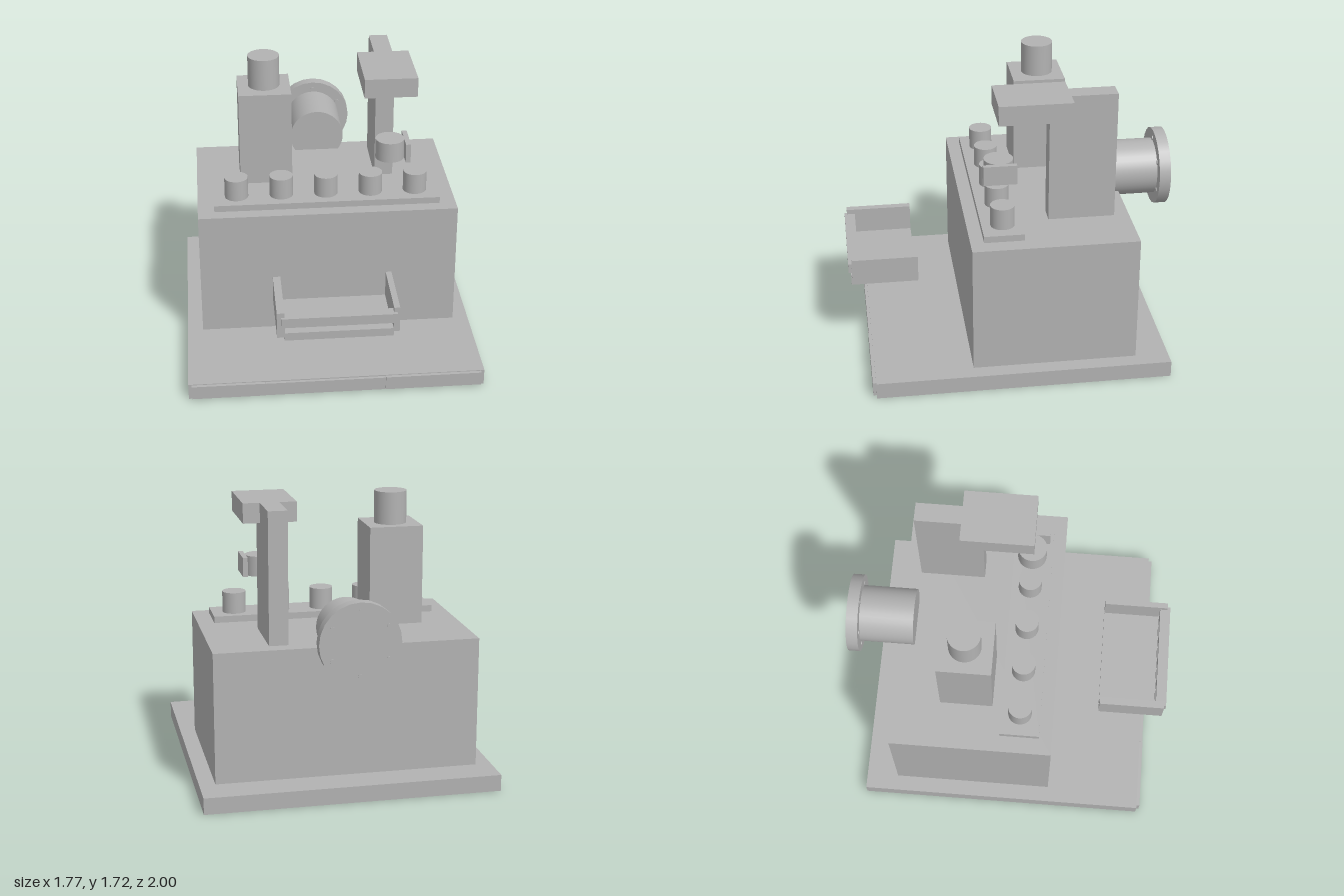
import * as THREE from 'three';

export function createModel() {
  const model = new THREE.Group();
  model.name = 'benchMachine';
  const grey = new THREE.MeshStandardMaterial({ color: 0xb2b2b2 });
  grey.name = 'machineGrey';

  const add = (name, geometry, parent = model) => {
    const mesh = new THREE.Mesh(geometry, grey);
    mesh.name = name;
    parent.add(mesh);
    return mesh;
  };
  // Box given by its limits on each axis
  const box = (name, [x0, x1], [y0, y1], [z0, z1], parent) => {
    const mesh = add(name, new THREE.BoxGeometry(x1 - x0, y1 - y0, z1 - z0), parent);
    mesh.position.set((x0 + x1) / 2, (y0 + y1) / 2, (z0 + z1) / 2);
    return mesh;
  };
  // Upright cylinder
  const post = (name, r, x, z, [y0, y1], parent) => {
    const mesh = add(name, new THREE.CylinderGeometry(r, r, y1 - y0, 40), parent);
    mesh.position.set(x, (y0 + y1) / 2, z);
    return mesh;
  };
  // Cylinder lying along z
  const barrel = (name, r, x, y, [z0, z1], sides, parent) => {
    const mesh = add(name, new THREE.CylinderGeometry(r, r, z1 - z0, sides), parent);
    mesh.rotation.x = Math.PI / 2;
    mesh.position.set(x, y, (z0 + z1) / 2);
    return mesh;
  };

  // Base plate with a front edge strip in three pieces
  box('basePlate', [-0.885, 0.885], [0, 0.1], [-0.89, 0.88]);
  box('edgeStripRight', [-0.865, -0.432], [0.01, 0.095], [0.88, 0.9]);
  box('edgeStripMiddle', [-0.43, 0.288], [0.01, 0.093], [0.88, 0.898]);
  box('edgeStripLeft', [0.29, 0.865], [0.01, 0.095], [0.88, 0.9]);

  // Main housing
  box('housing', [-0.79, 0.79], [0.1, 0.89], [-0.69, 0.295]);

  // Control panel and its row of knobs
  const controls = new THREE.Group();
  controls.name = 'controls';
  model.add(controls);
  box('controlPanel', [-0.69, 0.69], [0.89, 0.93], [-0.025, 0.215], controls);
  for (let i = -2; i <= 2; i++) post('knob', 0.072, i * 0.275, 0.09, [0.93, 1.06], controls);

  // Tower with round cap
  box('tower', [-0.518, -0.195], [0.925, 1.52], [-0.4, -0.08]);
  post('towerCap', 0.097, -0.355, -0.245, [1.52, 1.715]);

  // Arm column with overhanging head
  box('armColumn', [0.335, 0.45], [0.89, 1.68], [-0.6, -0.2]);
  box('armHead', [0.23, 0.55], [1.56, 1.68], [-0.325, 0.11]);

  // Cup and its side plate below the head
  post('cup', 0.0875, 0.39, 0.0925, [1.16, 1.285]);
  box('cupPlate', [0.475, 0.505], [1.165, 1.285], [-0.005, 0.195]);

  // Tray in front of the housing
  const tray = new THREE.Group();
  tray.name = 'tray';
  model.add(tray);
  box('trayFloor', [-0.315, 0.315], [0.45, 0.475], [0.58, 0.935], tray);
  box('trayLip', [-0.318, 0.315], [0.45, 0.5], [0.935, 0.985], tray);
  box('trayRail', [-0.335, 0.335], [0.545, 0.605], [0.935, 1], tray);
  box('traySideRight', [-0.36, -0.315], [0.472, 0.635], [0.58, 0.985], tray);
  box('traySideLeft', [0.315, 0.35], [0.475, 0.635], [0.58, 0.98], tray);

  // Rear pipe, flange and ring of bolts
  const outlet = new THREE.Group();
  outlet.name = 'rearOutlet';
  model.add(outlet);
  const cy = 0.988;
  barrel('pipe', 0.172, 0, cy, [-0.93, -0.595], 40, outlet);
  barrel('flange', 0.238, 0, cy, [-0.995, -0.925], 24, outlet);
  for (let i = 0; i < 6; i++) {
    const a = Math.PI / 2 + (i * Math.PI) / 3;
    barrel('bolt', 0.014, 0.188 * Math.cos(a), cy + 0.188 * Math.sin(a), [-1, -0.92], 12, outlet);
  }
  return model;
}
